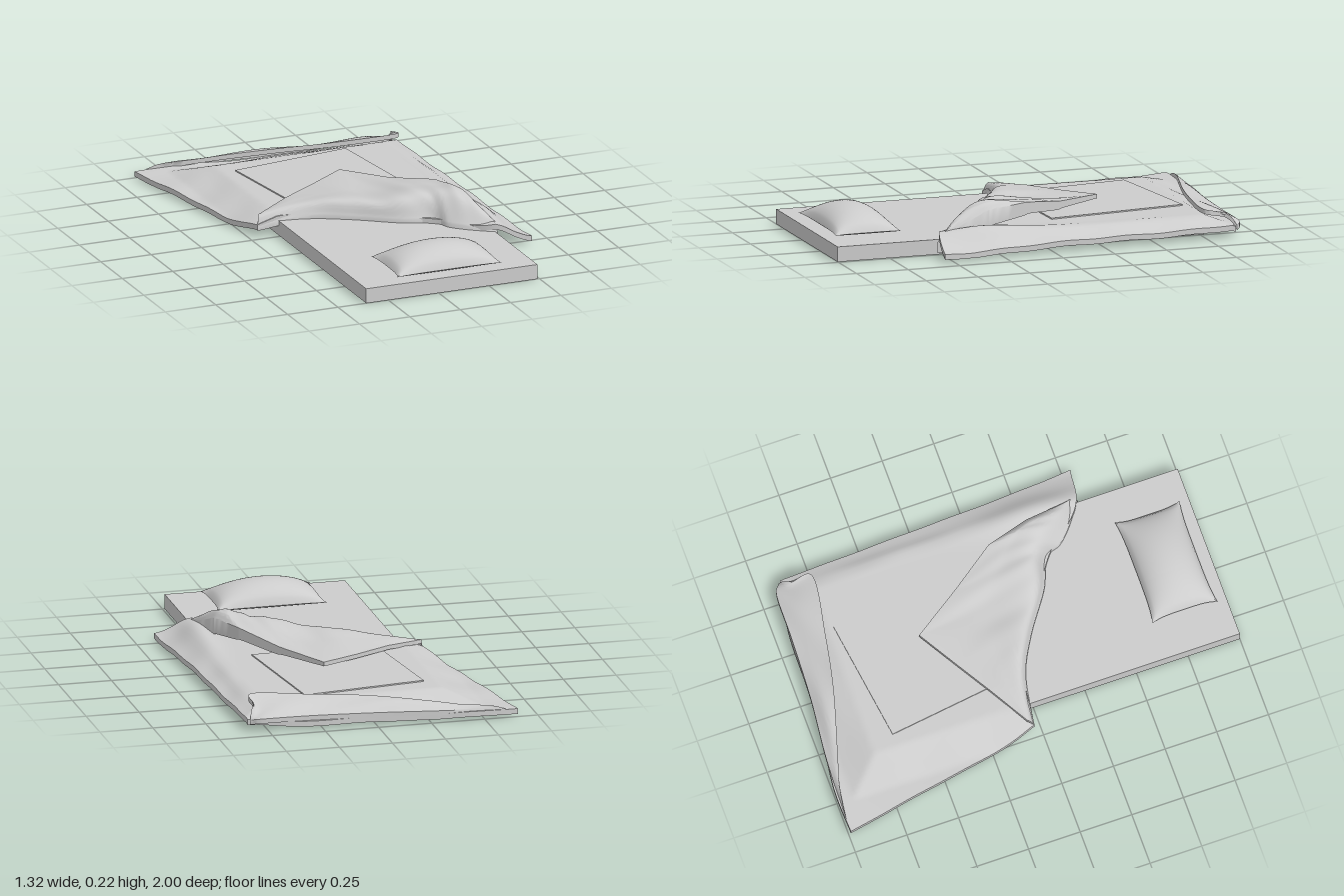
import * as THREE from 'three';
import { toCreasedNormals } from 'three/addons/utils/BufferGeometryUtils.js';

const linen = new THREE.MeshStandardMaterial({ color: 0xcccccc, side: THREE.DoubleSide });
linen.name = 'linen grey';

const V = (x, y, z) => new THREE.Vector3(x, y, z);
const curve = (pts, tension = 0.5) =>
  new THREE.CatmullRomCurve3(pts.map((p) => V(...p)), false, 'catmullrom', tension);

// Grid of fn(u, v) whose border is turned down to make a hem
function sheet(fn, nu, nv, drop) {
  const pos = [], index = [], row = nu + 3;
  for (let j = -1; j <= nv + 1; j++) {
    for (let i = -1; i <= nu + 1; i++) {
      const u = Math.min(1, Math.max(0, i / nu)), v = Math.min(1, Math.max(0, j / nv));
      const p = fn(u, v);
      const hem = i < 0 || j < 0 || i > nu || j > nv;
      pos.push(p.x, hem ? Math.max(0.008, p.y - drop(u)) : p.y, p.z);
    }
  }
  for (let j = 0; j < nv + 2; j++) {
    for (let i = 0; i < nu + 2; i++) {
      const a = j * row + i;
      index.push(a, a + row, a + 1, a + 1, a + row, a + row + 1);
    }
  }
  const g = new THREE.BufferGeometry();
  g.setAttribute('position', new THREE.Float32BufferAttribute(pos, 3));
  g.setIndex(index);
  return toCreasedNormals(g, 0.8);
}

// Smooth surface through a list of cross curves
const loft = (curves) => (u, v) =>
  new THREE.CatmullRomCurve3(curves.map((c) => c.getPoint(u)), false, 'catmullrom').getPoint(v);

const bump = (x, z, cx, cz, sx, sz) => Math.exp(-(((x - cx) / sx) ** 2) - ((z - cz) / sz) ** 2);

// Height of the blanket lying over the mattress and sloping to the floor
function drape(x, z) {
  const d = Math.max(-0.36 - x, x - 0.49, -0.77 - z, 0);
  const slope = Math.max(0.035, 0.093 - 0.36 * d);
  const loose = Math.min(1, d / 0.08);
  return slope + 0.005 * loose * Math.sin(13 * z + 9 * x) * Math.sin(7 * z - 4 * x + 1)
    + 0.035 * bump(x, z, 0.52, 0.3, 0.06, 0.25) + 0.012 * bump(x, z, 0.53, -0.3, 0.03, 0.4);
}

function blanketGeometry() {
  const back = curve([[-0.66, 0, -0.99], [-0.45, 0, -0.995], [-0.2, 0, -0.965], [0.05, 0, -0.945], [0.35, 0, -0.935], [0.59, 0, -0.89]]);
  const front = curve([[-0.46, 0, -0.03], [-0.23, 0, 0], [-0.05, 0, 0.09], [0.14, 0, 0.21], [0.29, 0, 0.31], [0.38, 0, 0.42], [0.49, 0, 0.51], [0.66, 0, 0.54]]);
  const left = curve([[-0.66, 0, -0.99], [-0.585, 0, -0.6], [-0.51, 0, -0.2], [-0.46, 0, -0.03]]);
  const right = curve([[0.59, 0, -0.89], [0.61, 0, -0.4], [0.63, 0, 0.1], [0.66, 0, 0.54]]);
  const [c00, c10, c01, c11] = [back.getPoint(0), back.getPoint(1), front.getPoint(0), front.getPoint(1)];
  return sheet((u, v) => {
    // Blend the four edges
    const p = back.getPoint(u).multiplyScalar(1 - v).addScaledVector(front.getPoint(u), v)
      .addScaledVector(left.getPoint(v), 1 - u).addScaledVector(right.getPoint(v), u)
      .addScaledVector(c00, -(1 - u) * (1 - v)).addScaledVector(c10, -u * (1 - v))
      .addScaledVector(c01, -(1 - u) * v).addScaledVector(c11, -u * v);
    p.y = drape(p.x, p.z);
    return p;
  }, 70, 70, () => 0.025);
}

function cornerFlapGeometry() {
  // Free edge with a sharp tip, then middle, shoulder and crease
  const surface = loft([
    curve([[-0.44, 0.1, -0.06], [-0.26, 0.12, -0.17], [-0.08, 0.125, -0.28], [0.1, 0.135, -0.39], [0.25, 0.15, -0.16], [0.39, 0.19, 0.05], [0.45, 0.18, 0.25], [0.5, 0.1, 0.47]], 0),
    curve([[-0.445, 0.1, -0.055], [-0.23, 0.135, -0.09], [-0.05, 0.14, -0.09], [0.12, 0.145, -0.07], [0.26, 0.175, 0.04], [0.38, 0.205, 0.16], [0.43, 0.2, 0.29], [0.5, 0.11, 0.48]]),
    curve([[-0.45, 0.09, -0.045], [-0.23, 0.135, -0.02], [-0.05, 0.15, 0.06], [0.12, 0.165, 0.16], [0.26, 0.185, 0.21], [0.34, 0.195, 0.27], [0.42, 0.17, 0.38], [0.5, 0.1, 0.49]]),
    curve([[-0.46, 0.05, -0.03], [-0.23, 0.085, 0.01], [-0.05, 0.085, 0.1], [0.14, 0.085, 0.23], [0.28, 0.085, 0.29], [0.32, 0.085, 0.37], [0.39, 0.085, 0.44], [0.5, 0.06, 0.52]]),
  ]);
  return sheet((u, v) => {
    const p = surface(u, v);
    // Folds running from the crease towards the tip
    const w = Math.sin(Math.PI * v) * Math.sin(Math.PI * u);
    p.y += 0.007 * w * Math.sin(24 * u + 3 * v) + 0.005 * w * u * Math.sin(55 * u - 6 * v);
    return p;
  }, 70, 36, (u) => (u < 0.45 ? 0.02 : 0.02 + 0.14 * (u - 0.45)));
}

function footFoldGeometry() {
  const surface = loft([
    curve([[-0.6, 0.04, -0.99], [-0.3, 0.05, -0.98], [0, 0.055, -0.95], [0.3, 0.06, -0.935], [0.52, 0.06, -0.93], [0.58, 0.05, -0.9]]),
    curve([[-0.55, 0.05, -0.985], [-0.3, 0.075, -0.95], [0, 0.085, -0.9], [0.3, 0.09, -0.87], [0.5, 0.09, -0.86], [0.57, 0.08, -0.88]]),
    curve([[-0.48, 0.055, -0.98], [-0.28, 0.08, -0.92], [0, 0.105, -0.84], [0.25, 0.115, -0.79], [0.53, 0.13, -0.75], [0.55, 0.11, -0.85]]),
  ]);
  return sheet((u, v) => {
    const p = surface(u, v);
    p.y += 0.006 * Math.sin(Math.PI * v) * Math.sin(19 * u + 2 * v);
    return p;
  }, 50, 14, () => 0.022);
}

// Thin quilt panel resting on the blanket
function panelGeometry() {
  const a = V(-0.3, 0, -0.66), b = V(0.28, 0, -0.74), c = V(-0.22, 0, -0.06), d = V(0.36, 0, -0.08);
  return sheet((u, v) => {
    const p = a.clone().lerp(b, u).lerp(c.clone().lerp(d, u), v);
    p.y = drape(p.x, p.z) + 0.006;
    return p;
  }, 16, 16, () => 0.006);
}

// Cushion face with pinched corners; side is 1 for the top, -1 for the base
function pillowGeometry(side) {
  return sheet((u, v) => {
    const a = (2 * u - 1) * side, b = 2 * v - 1;
    const f = Math.max(0, (1 - a * a) * (1 - b * b));
    return V(
      0.075 + 0.26 * a * (1 - 0.06 * (1 - b ** 4)),
      0.086 + (side > 0 ? 0.092 * f ** 0.55 : -0.014 * f ** 0.3),
      0.797 + 0.157 * b * (1 - 0.08 * (1 - a ** 4)));
  }, 36, 28, () => 0);
}

export function createModel() {
  const model = new THREE.Group();
  model.name = 'bed';
  const add = (name, geometry, parent = model) => {
    const mesh = new THREE.Mesh(geometry, linen);
    mesh.name = name;
    parent.add(mesh);
    return mesh;
  };

  add('mattress', new THREE.BoxGeometry(0.85, 0.07, 1.77)).position.set(0.065, 0.035, 0.115);

  const pillow = new THREE.Group();
  pillow.name = 'pillow';
  add('pillowTop', pillowGeometry(1), pillow);
  add('pillowBase', pillowGeometry(-1), pillow);
  model.add(pillow);

  add('blanket', blanketGeometry());
  add('blanketPanel', panelGeometry());
  add('foldedCorner', cornerFlapGeometry());
  add('footFold', footFoldGeometry());
  return model;
}
